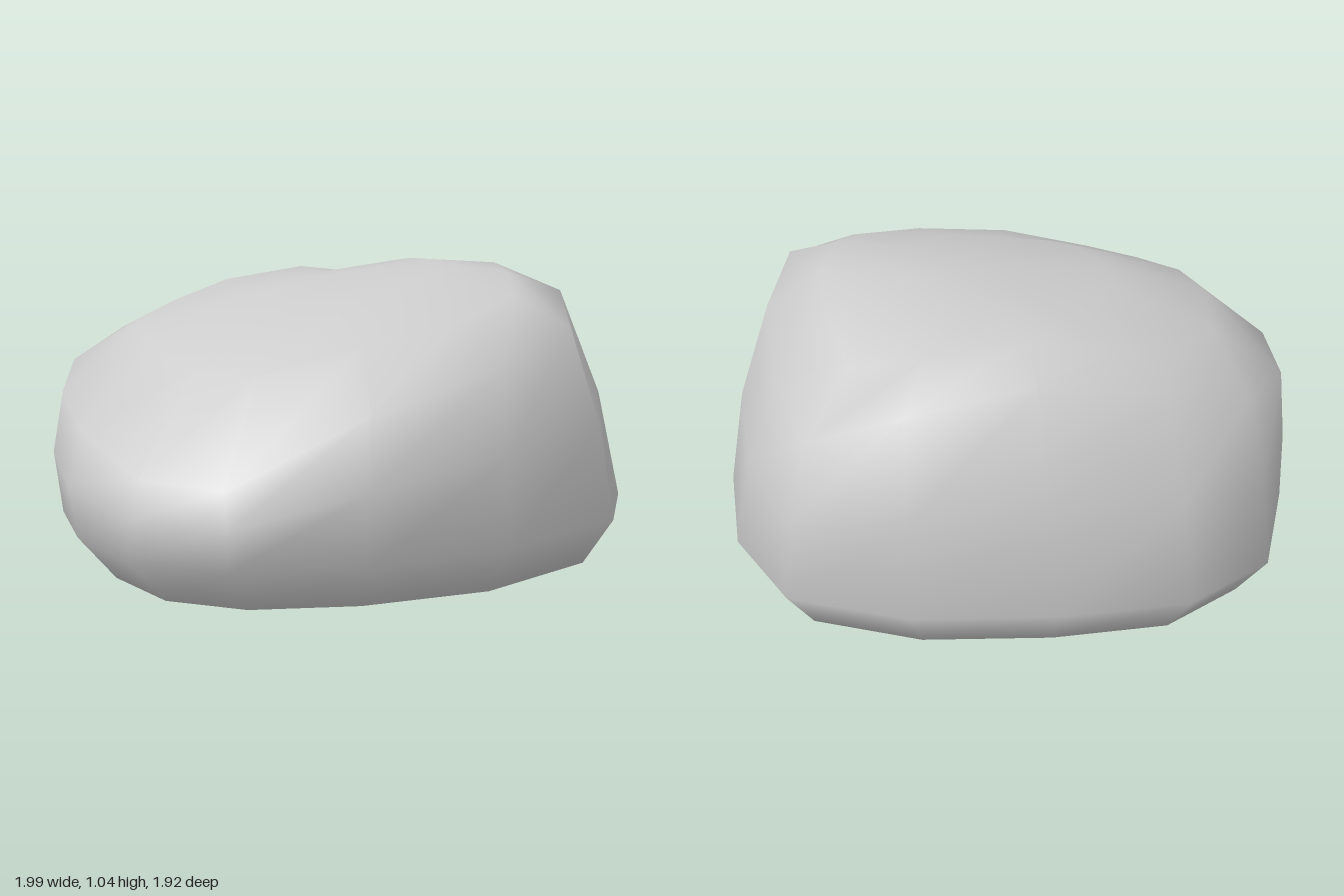
import * as THREE from 'three';

// Widest outline of the boulder (x, z), counter-clockwise from above, starting at -x
const OUTLINE = [
  [-1, 0.08], [-0.97, 0.42], [-0.82, 0.73], [-0.55, 0.9],
  [-0.15, 0.96], [0.33, 0.87], [0.79, 0.65], [0.97, 0.33],
  [1, -0.05], [0.96, -0.45], [0.79, -0.77], [0.41, -0.92],
  [-0.05, -0.965], [-0.47, -0.95], [-0.77, -0.78], [-0.93, -0.4],
];

// Shoulder where the sides turn into the sloping top (x, y, z)
const SHOULDER = [
  [-0.96, 0.63, 0.05], [-0.92, 0.55, 0.37], [-0.78, 0.46, 0.69], [-0.55, 0.46, 0.87],
  [-0.12, 0.66, 0.88], [0.33, 0.77, 0.77], [0.66, 0.85, 0.54], [0.74, 0.95, 0.27],
  [0.81, 0.91, -0.08], [0.78, 0.82, -0.42], [0.7, 0.74, -0.7], [0.4, 0.84, -0.77],
  [0, 0.93, -0.765], [-0.4, 0.87, -0.75], [-0.69, 0.76, -0.64], [-0.9, 0.68, -0.34],
];

// Heights of the ring inside the shoulder
const UPPER_Y = [0.83, 0.8, 0.75, 0.75, 0.83, 0.89, 0.95, 1.01,
  1.025, 0.98, 0.92, 0.95, 0.985, 0.94, 0.87, 0.83];

const TOP = [0.05, 1.0, -0.05];
const lerp = THREE.MathUtils.lerp;

function boulderGeometry() {
  const n = OUTLINE.length;
  // Shoulder outline shrunk towards the top centre
  const inset = (scale, height) => SHOULDER.map(([x, , z], i) => {
    const px = lerp(TOP[0], x, scale), pz = lerp(TOP[2], z, scale);
    return [px, height(px, pz, i), pz];
  });

  const rings = [
    // Flat foot
    OUTLINE.map(([x, z]) => [x * 0.52, 0, z * 0.52]),
    // Lower bevel, tighter at the rounded front right
    OUTLINE.map(([x, z], i) => {
      const scale = i < 5 ? 0.85 : 0.9;
      return [x * scale, 0.06, z * scale];
    }),
    // Lower flank
    OUTLINE.map(([x, z], i) => {
      const tuck = i < 2 ? 0.975 : 0.995;
      return [x * tuck, 0.22, z * tuck];
    }),
    // Middle flank, bulging on the sides next to the front right corner
    OUTLINE.map(([x, z], i) => {
      const [sx, sy, sz] = SHOULDER[i];
      const t = i < 5 && i !== 2 ? 0.03 : 0.38;
      return [lerp(x, sx, t), lerp(0.23, sy, 0.5), lerp(z, sz, t)];
    }),
    SHOULDER,
    inset(0.76, (x, z, i) => UPPER_Y[i]),
    inset(0.4, (x, z) => 0.995 + 0.13 * x - 0.05 * z - 0.3 * z * z),
  ];

  const points = [...rings.flat(), [0, 0, 0], TOP];
  const bottom = rings.length * n, top = bottom + 1, last = (rings.length - 1) * n;
  const index = [];
  for (let i = 0; i < n; i++) {
    const j = (i + 1) % n;
    for (let r = 0; r < rings.length - 1; r++) {
      const a = r * n + i, b = r * n + j;
      index.push(a, b, b + n, a, b + n, a + n);
    }
    index.push(bottom, j, i, top, last + i, last + j);
  }

  const geometry = new THREE.BufferGeometry();
  geometry.setAttribute('position', new THREE.Float32BufferAttribute(points.flat(), 3));
  geometry.setIndex(index);
  geometry.computeVertexNormals();
  return geometry;
}

export function createModel() {
  const group = new THREE.Group();
  group.name = 'rock';
  const boulder = new THREE.Mesh(
    boulderGeometry(),
    new THREE.MeshStandardMaterial({ color: 0xcccccc }),
  );
  boulder.name = 'boulder';
  group.add(boulder);
  return group;
}
